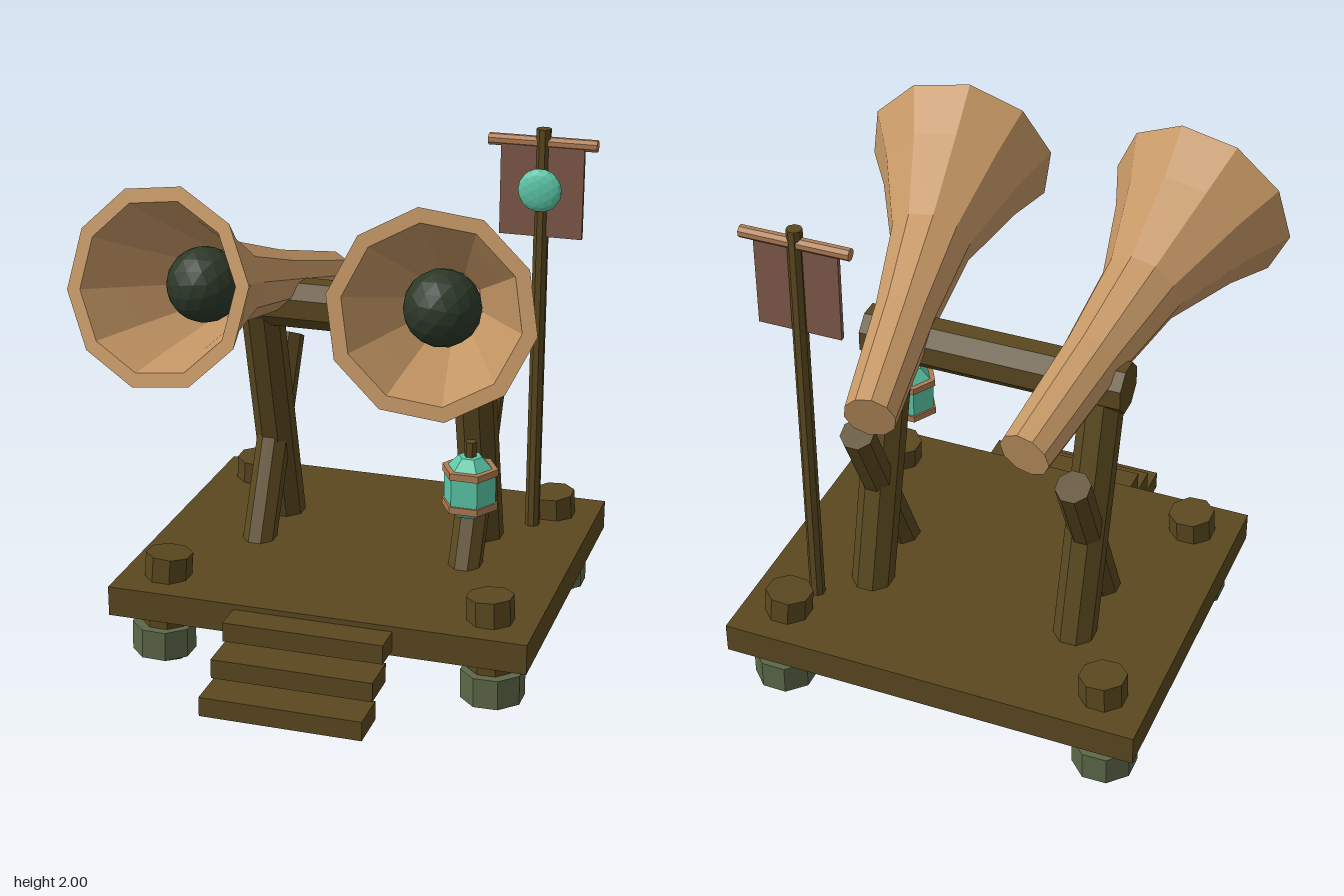
import * as THREE from 'three';

const mat = (name, color) => {
  const m = new THREE.MeshStandardMaterial({ color });
  m.name = name;
  return m;
};

export function createModel() {
  const model = new THREE.Group();
  model.name = 'hornPlatform';

  const wood = mat('dark wood', 0x5a481f);
  const horn = mat('horn tan', 0xc49664);
  const copper = mat('copper', 0xb07c52);
  const orb = mat('dark green', 0x2c3828);
  const stone = mat('mossy stone', 0x5c6848);
  const teal = mat('teal glow', 0x5cc8a8);
  const cloth = mat('banner cloth', 0x80594a);

  // faceted mesh helper
  const add = (name, geo, material, parent = model) => {
    const g = geo.index ? geo.toNonIndexed() : geo;
    g.computeVertexNormals();
    const mesh = new THREE.Mesh(g, material);
    mesh.name = name;
    parent.add(mesh);
    return mesh;
  };
  const box = (name, size, pos, material) => {
    const m = add(name, new THREE.BoxGeometry(...size), material);
    m.position.set(...pos);
    return m;
  };
  // polygonal rod from a to b
  const UP = new THREE.Vector3(0, 1, 0);
  const rod = (name, a, b, r, material, sides = 8) => {
    const A = new THREE.Vector3(...a), B = new THREE.Vector3(...b);
    const d = B.clone().sub(A);
    const geo = new THREE.CylinderGeometry(r, r, d.length(), sides);
    geo.rotateY(Math.PI / sides);
    const m = add(name, geo, material);
    m.position.copy(A).add(B).multiplyScalar(0.5);
    m.quaternion.setFromUnitVectors(UP, d.normalize());
    return m;
  };

  // deck and steps
  box('deck', [1.66, 0.12, 1.4], [0, 0.28, -0.19], wood);
  [[0.28, 0.545], [0.19, 0.675], [0.098, 0.805]].forEach(([y, z]) =>
    box('step', [0.63, 0.077, 0.17], [0, y, z], wood));

  // horn outline: closed back, flared outside, rim, hollow inside
  const hornProfile = [
    [0, 0], [0.1, 0], [0.12, 0.5], [0.162, 0.89], [0.28, 1.215], [0.372, 1.402],
    [0.318, 1.402], [0.245, 1.215], [0.13, 0.89], [0, 0.8],
  ].map(([r, y]) => new THREE.Vector2(r, y));

  for (const s of [-1, 1]) {
    // foundation posts with stone feet
    for (const [zTop, zFoot] of [[0.33, 0.353], [-0.705, -0.727]]) {
      rod('post', [s * 0.667, 0.012, zFoot], [s * 0.643, 0.435, zTop], 0.092, wood);
      rod('stoneFoot', [s * 0.667, 0.03, zFoot], [s * 0.665, 0.148, zFoot - 0.002], 0.124, stone);
    }
    rod('underBrace', [s * 0.65, 0.115, 0.3], [s * 0.65, 0.245, -0.68], 0.043, wood);

    // crossed support legs
    rod('supportLeg', [s * 0.425, 0.3, -0.425], [s * 0.425, 1.34, -0.155], 0.084, wood);
    rod('supportBrace', [s * 0.43, 0.31, -0.1], [s * 0.43, 1.09, -0.483], 0.068, wood);

    // horn aimed forward, up and outward
    const tail = new THREE.Vector3(s * 0.3, 1.305, -0.635);
    const axis = new THREE.Vector3(s * 0.205, 0.34, 1.345).normalize();
    const group = new THREE.Group();
    group.name = s > 0 ? 'leftHorn' : 'rightHorn';
    group.position.copy(tail);
    group.quaternion.setFromUnitVectors(UP, axis);
    model.add(group);
    add('hornBell', new THREE.LatheGeometry(hornProfile, 10, Math.PI / 10), horn, group);
    add('hornOrb', new THREE.IcosahedronGeometry(0.143, 2), orb, group).position.y = 1.05;
  }

  // cross beam carrying the horns
  rod('crossBeam', [-0.52, 1.34, -0.16], [0.52, 1.34, -0.16], 0.099, wood);

  // flag pole, banner and emblem
  rod('flagPole', [0.592, 0.3, -0.572], [0.592, 2, -0.572], 0.03, wood);
  rod('bannerBar', [0.375, 1.945, -0.575], [0.805, 1.945, -0.575], 0.024, copper);
  box('banner', [0.33, 0.37, 0.02], [0.592, 1.757, -0.566], cloth);
  const emblem = add('bannerEmblem', new THREE.IcosahedronGeometry(0.087, 2), teal);
  emblem.scale.z = 0.36;
  emblem.position.set(0.592, 1.765, -0.528);

  // hanging lantern, stacked from bottom to top: [name, low y, high y, low r, high r]
  const lantern = new THREE.Group();
  lantern.name = 'lantern';
  lantern.position.set(0.523, 0, 0.2);
  model.add(lantern);
  [
    ['lanternBase', 0.7, 0.73, 0.062, 0.09, teal],
    ['lanternLowerBand', 0.728, 0.755, 0.108, 0.108, copper],
    ['lanternGlass', 0.74, 0.88, 0.1, 0.1, teal],
    ['lanternUpperBand', 0.863, 0.89, 0.108, 0.108, copper],
    ['lanternCap', 0.885, 0.932, 0.09, 0.045, teal],
    ['lanternStem', 0.925, 0.99, 0.023, 0.023, wood],
  ].forEach(([name, y0, y1, r0, r1, material]) => {
    const geo = new THREE.CylinderGeometry(r1, r0, y1 - y0, 6);
    geo.rotateY(Math.PI / 6);
    add(name, geo, material, lantern).position.y = (y0 + y1) / 2;
  });

  return model;
}
